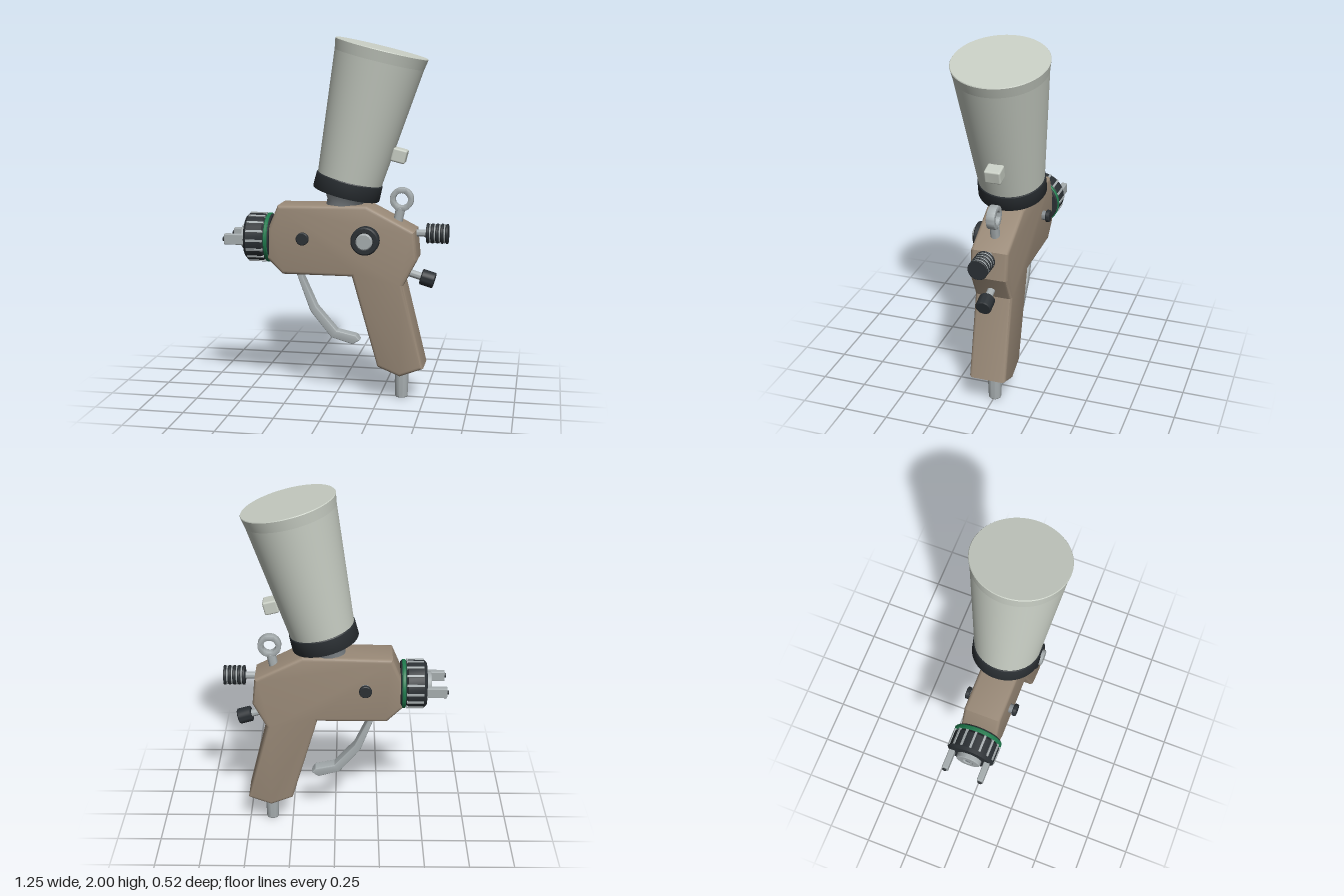
import * as THREE from 'three';
import { toCreasedNormals } from 'three/addons/utils/BufferGeometryUtils.js';
import { RoundedBoxGeometry } from 'three/addons/geometries/RoundedBoxGeometry.js';

const paint = color => new THREE.MeshStandardMaterial({ color });
const tan = paint(0x9a8a78), dark = paint(0x2b3034), cream = paint(0xc8cec4);
const metal = paint(0xa6adaf), steel = paint(0x858b8f), green = paint(0x1f7a4d);

export function createModel() {
  const model = new THREE.Group();
  model.name = 'sprayGun';

  const add = (name, geometry, material, parent = model) => {
    const mesh = new THREE.Mesh(geometry, material);
    mesh.name = name;
    parent.add(mesh);
    return mesh;
  };

  // Round part: profile of [radius, height] turned about an axis from pos along dir
  const turned = (name, profile, material, pos, dir, parent = model, sides = 48) => {
    const points = profile.map(([r, h]) => new THREE.Vector2(r, h));
    const mesh = add(name, toCreasedNormals(new THREE.LatheGeometry(points, sides), 0.5), material, parent);
    mesh.position.set(...pos);
    mesh.quaternion.setFromUnitVectors(new THREE.Vector3(0, 1, 0), new THREE.Vector3(...dir).normalize());
    return mesh;
  };

  // Solid rod with slightly softened rims
  const rod = (name, r, length, material, pos, dir, parent = model) => {
    const c = Math.min(r * 0.12, length * 0.2);
    return turned(name, [[0, 0], [r - c, 0], [r, c], [r, length - c], [r - c, length], [0, length]],
      material, pos, dir, parent, 32);
  };

  // Bevelled slab whose outline lies in the xy plane, centred on z = 0
  const slab = (name, outline, width, bevel, material) => {
    const shape = new THREE.Shape(outline.map(p => new THREE.Vector2(...p)));
    const geometry = new THREE.ExtrudeGeometry(shape, {
      depth: width - 2 * bevel, bevelSize: bevel, bevelThickness: bevel, bevelOffset: -bevel, bevelSegments: 3,
    });
    geometry.translate(0, 0, bevel - width / 2);
    return add(name, toCreasedNormals(geometry, 0.55), material);
  };

  // Body and grip in one piece
  slab('body', [
    [-0.29, 0.695], [0.10, 0.695], [0.245, 0.19], [0.37, 0.14], [0.50, 0.19], [0.385, 0.655],
    [0.46, 0.80], [0.445, 0.955], [0.18, 1.09], [-0.315, 1.08], [-0.37, 0.95], [-0.375, 0.78],
  ], 0.21, 0.02, tan);

  // Trigger
  slab('trigger', [
    [-0.235, 0.72], [-0.145, 0.475], [-0.025, 0.328], [0.095, 0.294], [0.135, 0.318],
    [0.115, 0.345], [0.005, 0.368], [-0.11, 0.50], [-0.185, 0.665], [-0.195, 0.72],
  ], 0.07, 0.006, metal);

  // Air inlet under the grip
  turned('airInlet', [
    [0.016, 0.03], [0.016, 0], [0.032, 0], [0.035, 0.005], [0.038, 0.085], [0.038, 0.18],
  ], metal, [0.37, 0, 0], [0, 1, 0]);
  rod('airInletBore', 0.0165, 0.03, dark, [0.37, 0.01, 0], [0, 1, 0]);

  // Tilted paint cup
  const cup = new THREE.Group();
  cup.name = 'paintCup';
  cup.position.set(0.053, 1.145, 0);
  cup.rotation.z = -0.241;
  model.add(cup);
  const up = [0, 1, 0];
  turned('collar', [[0, 0], [0.186, 0], [0.188, 0.004], [0.186, 0.083], [0.183, 0.088], [0, 0.088]], dark, [0, 0, 0], up, cup, 64);
  turned('container', [[0, 0.07], [0.179, 0.07], [0.248, 0.755]], cream, [0, 0, 0], up, cup, 64);
  turned('lid', [[0.248, 0.755], [0.258, 0.813], [0.255, 0.817], [0, 0.817]], cream, [0, 0, 0], up, cup, 64);
  add('cupTab', new RoundedBoxGeometry(0.08, 0.075, 0.09, 3, 0.01), cream, cup).position.set(0.235, 0.28, 0);
  turned('neck', [[0, -0.11], [0.09, -0.11], [0.095, -0.05], [0.13, 0.01], [0, 0.01]], steel, [0, 0, 0], up, cup);

  // Hanging eyelet
  const ring = new THREE.Shape().absarc(0, 0, 0.065, 0, Math.PI * 2);
  ring.holes.push(new THREE.Path().absarc(0, 0, 0.035, 0, Math.PI * 2));
  const ringGeometry = new THREE.ExtrudeGeometry(ring, {
    depth: 0.036, bevelSize: 0.006, bevelThickness: 0.006, bevelOffset: -0.006, bevelSegments: 2, curveSegments: 24,
  });
  ringGeometry.translate(0, 0, -0.018);
  add('eyelet', toCreasedNormals(ringGeometry, 0.6), metal).position.set(0.363, 1.12, 0);
  rod('eyeletStem', 0.026, 0.11, metal, [0.335, 0.965, 0], [0.2, 0.97, 0]);

  // Ribbed rear knob
  rod('rearShaft', 0.02, 0.13, metal, [0.40, 0.935, 0], [1, 0, 0]);
  rod('rearKnob', 0.048, 0.12, dark, [0.50, 0.935, 0], [1, 0, 0]);
  for (let i = 0; i < 5; i++) {
    rod('rearKnobRib', 0.055, 0.013, dark, [0.502 + i * 0.0265, 0.935, 0], [1, 0, 0]);
    if (i < 4) rod('rearKnobRing', 0.053, 0.007, metal, [0.518 + i * 0.0265, 0.935, 0], [1, 0, 0]);
  }

  // Lower knob
  const slope = [0.96, -0.28, 0];
  rod('lowerShaft', 0.021, 0.13, metal, [0.37, 0.722, 0], slope);
  rod('lowerKnob', 0.044, 0.078, dark, [0.473, 0.692, 0], slope);

  // Large dial on the front side only
  turned('sideDial', [[0, 0], [0.077, 0], [0.077, 0.055], [0.07, 0.062], [0.05, 0.062], [0.046, 0.055], [0, 0.055]],
    dark, [0.18, 0.905, 0.10], [0, 0, 1]);
  rod('sideDialCentre', 0.045, 0.03, metal, [0.18, 0.905, 0.15], [0, 0, 1]);

  // Trigger pivot buttons on both sides
  for (const s of [-1, 1]) {
    rod('pivotStem', 0.026, 0.05, steel, [-0.167, 0.905, s * 0.085], [0, 0, s]);
    rod('pivotButton', 0.035, 0.024, dark, [-0.167, 0.905, s * 0.127], [0, 0, s]);
  }

  // Spray head, axis along -x
  const head = new THREE.Group();
  head.name = 'sprayHead';
  head.position.set(0, 0.885, 0);
  model.add(head);
  const ahead = [-1, 0, 0];
  rod('headBase', 0.132, 0.03, dark, [-0.362, 0, 0], ahead, head);
  rod('greenBand', 0.138, 0.022, green, [-0.37, 0, 0], ahead, head);
  rod('headRing', 0.135, 0.121, dark, [-0.388, 0, 0], ahead, head);
  for (let i = 0; i < 16; i++) {
    const a = i * Math.PI / 8;
    const rib = add('gripRib', new THREE.BoxGeometry(0.095, 0.014, 0.012), metal, head);
    rib.position.set(-0.443, Math.cos(a) * 0.133, Math.sin(a) * 0.133);
    rib.rotation.x = a;
  }

  // Air cap with nozzle and two horns
  turned('airCap', [[0, 0], [0.07, 0], [0.07, 0.03], [0.066, 0.034], [0.032, 0.034], [0.03, 0.02], [0, 0.02]],
    metal, [-0.502, 0, 0], ahead, head);
  rod('nozzle', 0.015, 0.02, steel, [-0.515, 0, 0], ahead, head);
  for (const s of [-1, 1]) {
    const horn = add('airHorn', new RoundedBoxGeometry(0.12, 0.06, 0.034, 3, 0.006), metal, head);
    horn.position.set(-0.558, 0, s * 0.102);
    rod('hornTip', 0.012, 0.012, dark, [-0.614, 0, s * 0.104], ahead, head);
  }

  return model;
}
